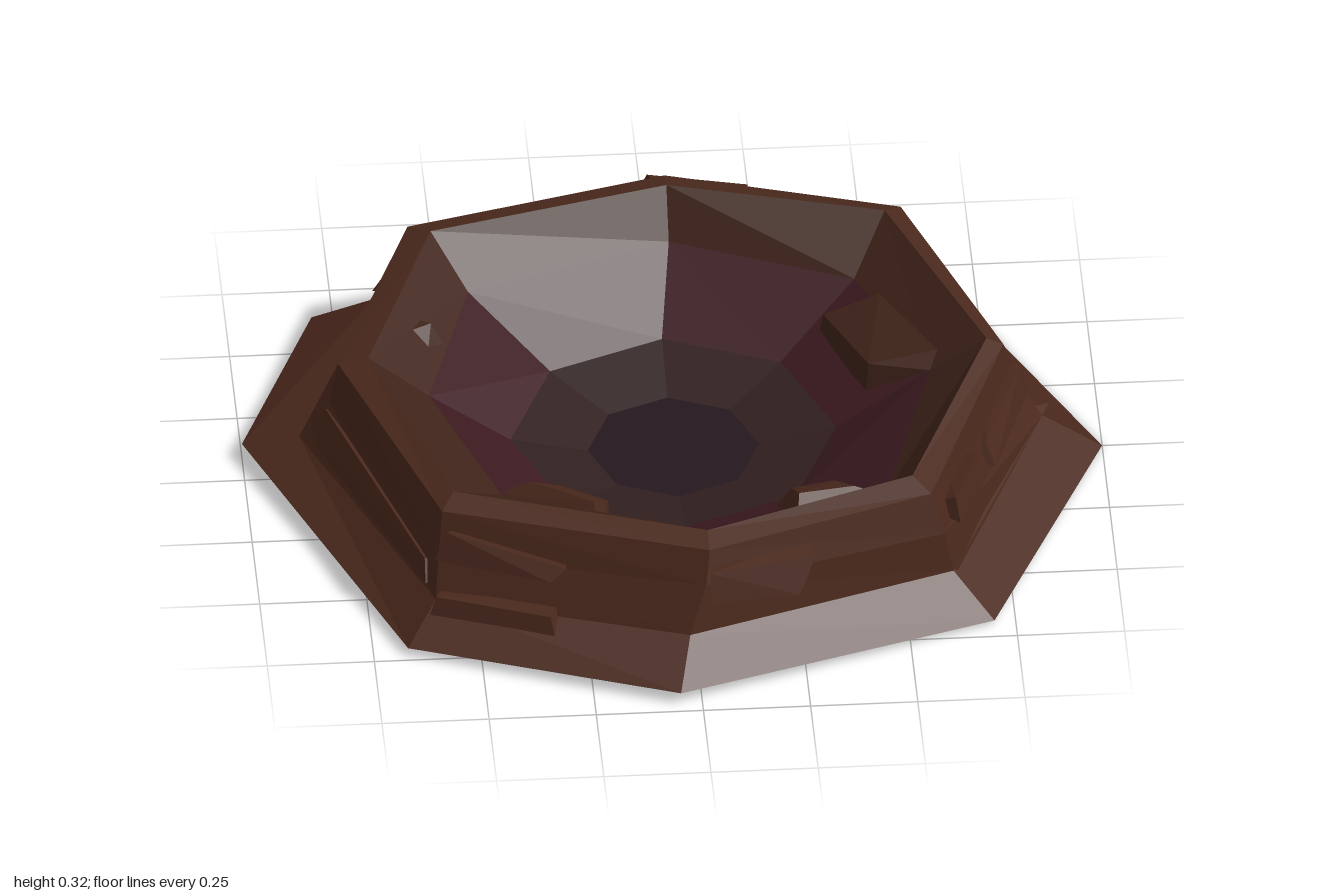
import * as THREE from 'three';
import { ConvexGeometry } from 'three/addons/geometries/ConvexGeometry.js';

const paint = (color) => new THREE.MeshStandardMaterial({ color, flatShading: true });
const BROWN = paint(0x4a281c), INNER = paint(0x40241a), PURPLE = paint(0x3c1a20);
const FLOOR = paint(0x31201f), PIT = paint(0x25181f);

// Eight-sided cross-sections [x, y, z], from the foot up to the rim and down into the bowl
const base = [[1, 0, 0], [0.7, 0.01, 0.7], [-0.05, 0.03, 0.97], [-0.67, 0.02, 0.73],
  [-1, 0.04, -0.09], [-0.8, 0.01, -0.63], [0.05, 0, -0.98], [0.65, 0, -0.73]];
const shoulder = [[0.86, 0.1, 0.01], [0.61, 0.1, 0.62], [-0.02, 0.11, 0.85], [-0.6, 0.1, 0.65],
  [-0.87, 0.09, -0.04], [-0.66, 0.09, -0.58], [0.04, 0.08, -0.87], [0.6, 0.09, -0.64]];
const cliff = [[0.8, 0.19, 0], [0.59, 0.2, 0.61], [0.02, 0.22, 0.81], [-0.59, 0.2, 0.61],
  [-0.8, 0.19, -0.03], [-0.61, 0.2, -0.58], [0.04, 0.2, -0.78], [0.59, 0.2, -0.6]];
const rimOuter = [[0.77, 0.3, 0], [0.56, 0.3, 0.59], [0.03, 0.3, 0.78], [-0.58, 0.3, 0.58],
  [-0.78, 0.3, -0.03], [-0.58, 0.3, -0.57], [0.03, 0.31, -0.72], [0.57, 0.3, -0.57]];
const rimInner = [[0.73, 0.32, 0], [0.52, 0.32, 0.54], [0.03, 0.315, 0.72], [-0.55, 0.32, 0.53],
  [-0.71, 0.32, -0.02], [-0.53, 0.32, -0.52], [0.03, 0.325, -0.66], [0.53, 0.32, -0.53]];
const bowlTop = [[0.6, 0.22, -0.02], [0.47, 0.22, 0.45], [0.03, 0.22, 0.63], [-0.43, 0.22, 0.41],
  [-0.57, 0.22, 0], [-0.45, 0.22, -0.41], [0.03, 0.22, -0.58], [0.45, 0.22, -0.4]];

const octagon = (r, y) => Array.from({ length: 8 }, (_, i) =>
  [r * Math.cos(i * Math.PI / 4), y, r * Math.sin(i * Math.PI / 4)]);

// Skin a run of rings, facing outward when the rings climb
function skin(name, rings, material) {
  const pos = [];
  for (let k = 0; k + 1 < rings.length; k++) {
    for (let i = 0; i < 8; i++) {
      const j = (i + 1) % 8;
      const [a, b, c, d] = [rings[k][i], rings[k][j], rings[k + 1][j], rings[k + 1][i]];
      if (a !== b) pos.push(...a, ...c, ...b);
      if (c !== d) pos.push(...a, ...d, ...c);
    }
  }
  const geo = new THREE.BufferGeometry();
  geo.setAttribute('position', new THREE.Float32BufferAttribute(pos, 3));
  geo.computeVertexNormals();
  const mesh = new THREE.Mesh(geo, material);
  mesh.name = name;
  return mesh;
}

// Angular lump of stone wrapped around a few corners
function rock(name, corners, material = BROWN) {
  const mesh = new THREE.Mesh(
    new ConvexGeometry(corners.map((p) => new THREE.Vector3(...p))), material);
  mesh.name = name;
  return mesh;
}

export function createModel() {
  const crater = new THREE.Group();
  crater.name = 'crater';
  const point = (p) => Array(8).fill(p);
  const bowlMid = octagon(0.38, 0.085), pit = octagon(0.2, 0.045);

  crater.add(
    skin('underside', [point([0, 0, 0]), base], BROWN),
    skin('outerSlope', [base, shoulder, cliff, rimOuter, rimInner], BROWN),
    skin('innerRim', [rimInner, bowlTop], INNER),
    skin('bowlWall', [bowlTop, bowlMid], PURPLE),
    skin('bowlFloor', [bowlMid, pit], FLOOR),
    skin('pit', [pit, point([0, 0.045, 0])], PIT),
  );

  // Stones jutting out of the bowl wall
  crater.add(
    rock('bowlRockRight', [[-0.44, 0.2, 0.38], [-0.33, 0.1, 0.28], [-0.17, 0.08, 0.36], [-0.21, 0.18, 0.53],
      [-0.36, 0.24, 0.39], [-0.28, 0.18, 0.33], [-0.18, 0.17, 0.38], [-0.22, 0.24, 0.48]]),
    rock('bowlRockLeft', [[0.2, 0.09, 0.35], [0.38, 0.13, 0.3], [0.46, 0.21, 0.46], [0.25, 0.19, 0.55],
      [0.25, 0.17, 0.36], [0.35, 0.18, 0.35], [0.39, 0.24, 0.46], [0.26, 0.24, 0.48]]),
    rock('bowlRockBack', [[0.36, 0.12, -0.31], [0.45, 0.1, -0.05], [0.6, 0.22, -0.02], [0.53, 0.22, -0.22],
      [0.37, 0.2, -0.29], [0.46, 0.21, -0.07], [0.62, 0.25, -0.06], [0.5, 0.26, -0.28]], INNER),
    rock('bowlLedge', [[-0.62, 0.27, -0.26], [-0.55, 0.23, -0.27], [-0.52, 0.22, -0.19], [-0.57, 0.22, -0.1],
      [-0.64, 0.28, -0.16], [-0.55, 0.27, -0.22]], INNER),
  );

  // Slabs and ledges on the outer slope
  crater.add(
    rock('frontLowSlab', [[-0.62, 0.06, 0.68], [-0.33, 0.07, 0.79], [-0.6, 0.12, 0.67], [-0.34, 0.12, 0.77],
      [-0.56, 0.12, 0.6], [-0.31, 0.13, 0.7]]),
    rock('frontHighSlab', [[0.03, 0.19, 0.84], [0.24, 0.17, 0.79], [0.03, 0.26, 0.82], [0.28, 0.25, 0.75],
      [0.06, 0.26, 0.74], [0.27, 0.26, 0.68], [0.2, 0.18, 0.72]]),
    rock('frontRightSlab', [[-0.6, 0.19, 0.62], [-0.34, 0.19, 0.73], [-0.57, 0.26, 0.61], [-0.3, 0.22, 0.72],
      [-0.5, 0.25, 0.55], [-0.3, 0.22, 0.66]]),
    rock('leftLowLedge', [[0.62, 0.1, 0.62], [0.88, 0.1, -0.04], [0.64, 0.11, 0.56], [0.84, 0.12, 0],
      [0.56, 0.1, 0.56], [0.76, 0.1, 0]]),
    rock('leftSlab', [[0.73, 0.17, 0.31], [0.83, 0.17, 0], [0.71, 0.22, 0.28], [0.81, 0.24, 0],
      [0.62, 0.19, 0.28], [0.72, 0.24, -0.03], [0.78, 0.2, -0.1]]),
    rock('leftCornerSlab', [[0.63, 0.2, 0.57], [0.72, 0.19, 0.34], [0.62, 0.26, 0.55], [0.68, 0.26, 0.38],
      [0.54, 0.22, 0.52], [0.6, 0.24, 0.34]]),
    rock('backSlab', [[-0.03, 0.19, -0.82], [0.22, 0.19, -0.74], [-0.01, 0.3, -0.74], [0.22, 0.31, -0.67],
      [0.02, 0.31, -0.67], [0.21, 0.32, -0.61]]),
    rock('backLedge', [[-0.66, 0.1, -0.6], [0.04, 0.09, -0.88], [-0.6, 0.18, -0.62], [-0.03, 0.17, -0.82],
      [-0.58, 0.16, -0.5], [0.02, 0.15, -0.72]]),
    rock('rightLedge', [[-0.86, 0.1, -0.04], [-0.62, 0.11, 0.6], [-0.81, 0.18, -0.02], [-0.62, 0.16, 0.57],
      [-0.7, 0.14, 0], [-0.54, 0.14, 0.54]]),
  );
  return crater;
}
